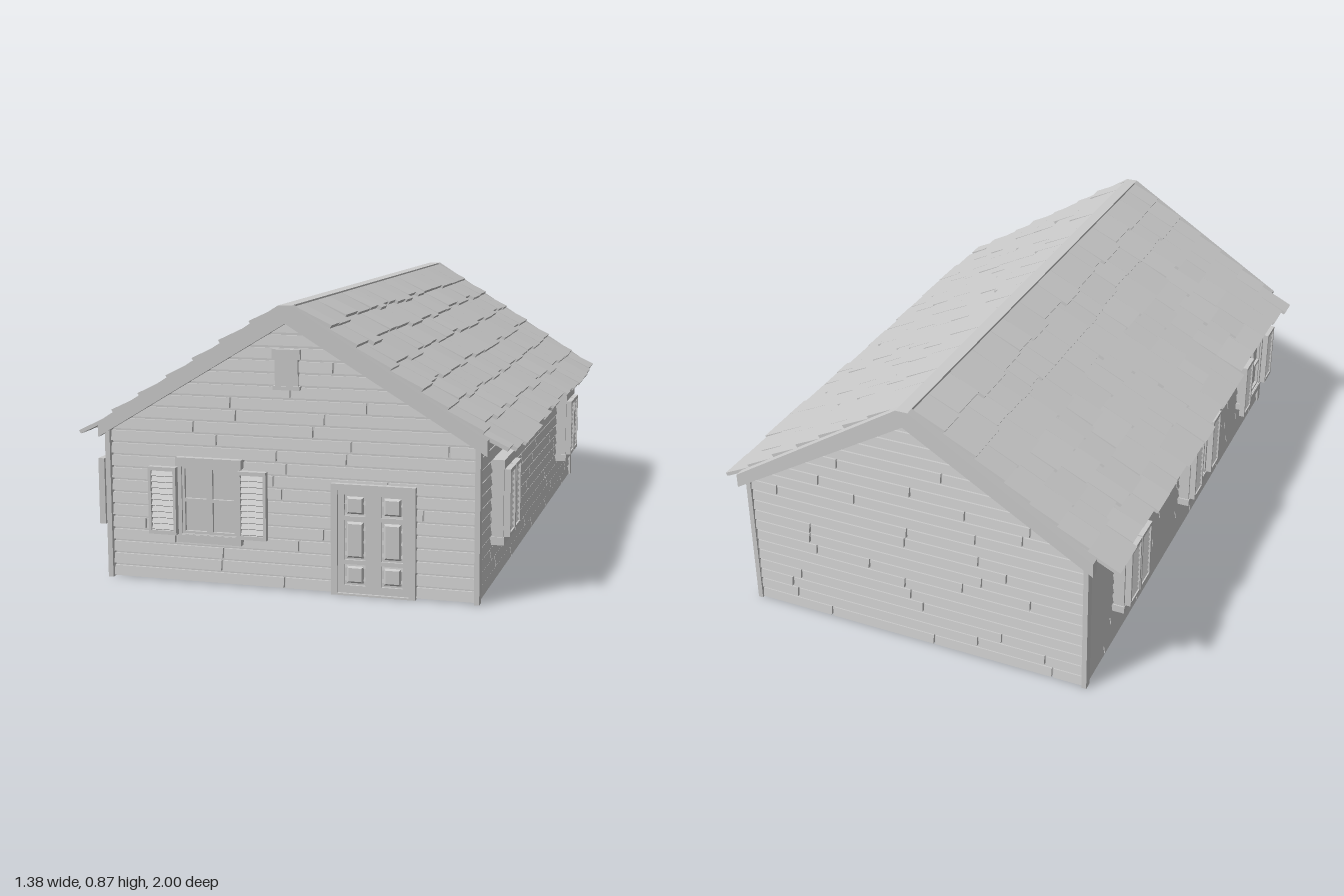
import * as THREE from 'three';
import { mergeGeometries } from 'three/addons/utils/BufferGeometryUtils.js';

const material = new THREE.MeshStandardMaterial({ color: 0xcccccc, flatShading: true });
const SLOPE = 0.635;            // roof fall per unit of x
const COURSE = 0.039;           // height of one siding board

let seed = 7;
const rand = (a, b) => {
  seed = (seed * 16807) % 2147483647;
  return a + (b - a) * (seed / 2147483647);
};

function add(parent, name, geometry) {
  const mesh = new THREE.Mesh(geometry, material);
  mesh.name = name;
  parent.add(mesh);
  return mesh;
}

function newGroup(parent, name) {
  const g = new THREE.Group();
  g.name = name;
  parent.add(g);
  return g;
}

// Box given by its limits
function span(x0, x1, y0, y1, z0, z1) {
  return new THREE.BoxGeometry(x1 - x0, y1 - y0, z1 - z0)
    .translate((x0 + x1) / 2, (y0 + y1) / 2, (z0 + z1) / 2);
}

// Flat outline with rectangular holes [x0, x1, y0, y1], extruded from z0 to z1
function plate(points, holes, z0, z1) {
  const shape = new THREE.Shape(points.map(([x, y]) => new THREE.Vector2(x, y)));
  for (const [a, b, c, d] of holes) {
    shape.holes.push(new THREE.Path([[a, c], [a, d], [b, d], [b, c]].map(p => new THREE.Vector2(...p))));
  }
  return new THREE.ExtrudeGeometry(shape, { depth: z1 - z0, bevelEnabled: false }).translate(0, 0, z0);
}

const rect = (x0, x1, y0, y1) => [[x0, y0], [x1, y0], [x1, y1], [x0, y1]];

// Move box corners by a rule working on the signs of each corner
function shapeBox(rule) {
  const g = new THREE.BoxGeometry(2, 2, 2);
  const p = g.attributes.position;
  for (let i = 0; i < p.count; i++) p.setXYZ(i, ...rule(p.getX(i), p.getY(i), p.getZ(i)));
  g.computeVertexNormals();
  return g;
}

// Lapped boards on one wall; halfAt(y) gives the half width at a height
function siding(parent, halfAt, top) {
  const boards = [];
  for (let y = 0; y < top - 0.01; y += COURSE) {
    const y0 = y + 0.004, y1 = Math.min(y + COURSE - 0.004, top);
    const w0 = halfAt(y0), w1 = halfAt(y1);
    let a = -w0;
    while (a < w0) {
      let b = a + rand(0.18, 0.75);
      if (a === -w0) b = a + rand(0.08, 0.6);
      if (b > w0 - 0.08) b = w0;
      const end = b;
      const start = a;
      boards.push(shapeBox((sx, sy, sz) => {
        const w = sy < 0 ? w0 : w1;
        const x = THREE.MathUtils.clamp(sx < 0 ? start : end, -w, w);
        return [x, sy < 0 ? y0 : y1, sz < 0 ? -0.012 : (sy < 0 ? 0.003 : -0.002)];
      }));
      a = b + 0.006;
    }
  }
  add(parent, 'sidingBoards', mergeGeometries(boards));
}

// Louvred shutter with its lower left corner at the origin
function shutter(parent, x, y) {
  const w = 0.09, h = 0.21, t = 0.02;
  const g = newGroup(parent, 'shutter');
  add(g, 'shutterFrame', plate(rect(0, w, 0, h), [[0.009, w - 0.009, 0.012, h - 0.012]], 0, t));
  const slats = [];
  for (let i = 0; i < 10; i++) {
    slats.push(new THREE.BoxGeometry(w - 0.016, 0.019, 0.004).rotateX(-0.6)
      .translate(w / 2, 0.022 + i * 0.0185, t / 2));
  }
  add(g, 'shutterSlats', mergeGeometries(slats));
  g.position.set(x, y, 0);
}

// Four-pane window; shutters are listed by their x offset from the middle
function windowUnit(wall, x, z, shutters) {
  const g = newGroup(wall, 'window');
  g.position.set(x, 0, z);
  const panes = [];
  for (const px of [-0.08, 0.01]) for (const py of [0.165, 0.267]) panes.push([px, px + 0.07, py, py + 0.092]);
  add(g, 'windowFrame', plate(rect(-0.1, 0.1, 0.14, 0.38), [[-0.088, 0.088, 0.157, 0.367]], -0.045, 0));
  add(g, 'windowSash', plate(rect(-0.09, 0.09, 0.155, 0.369), panes, -0.04, -0.006));
  add(g, 'windowGlass', span(-0.085, 0.085, 0.16, 0.365, -0.04, -0.016));
  add(g, 'windowHead', span(-0.106, 0.106, 0.367, 0.395, -0.045, 0.003));
  add(g, 'windowSill', span(-0.104, 0.104, 0.13, 0.155, -0.045, 0.003));
  for (const s of shutters) shutter(g, s, 0.155);
}

// Panelled door with trim
function door(wall, x, z) {
  const g = newGroup(wall, 'door');
  g.position.set(x, 0, z);
  add(g, 'doorTrim', plate(rect(-0.13, 0.13, 0, 0.34), [[-0.11, 0.11, 0.006, 0.322]], -0.025, 0.016));
  const fields = [];
  for (const px of [-0.09, 0.025]) {
    for (const [y0, y1] of [[0.03, 0.095], [0.108, 0.23], [0.242, 0.307]]) fields.push([px, px + 0.065, y0, y1]);
  }
  add(g, 'doorLeaf', plate(rect(-0.112, 0.112, 0.004, 0.324), fields, -0.02, 0.008));
  add(g, 'doorBacking', span(-0.11, 0.11, 0.005, 0.322, -0.02, 0.001));
  for (const [a, b, c, d] of fields) {
    // Raised field with sloping edges
    add(g, 'doorPanel', shapeBox((sx, sy, sz) => {
      const inset = sz < 0 ? 0.005 : 0.012;
      return [sx < 0 ? a + inset : b - inset, sy < 0 ? c + inset : d - inset, sz < 0 ? 0 : 0.008];
    }));
  }
}

// Wedge shingles in staggered courses on one roof slope
function shingles(parent) {
  const list = [];
  for (let row = 0; row < 7; row++) {
    const edge = 0.118 + row * 0.1087;
    let z = -0.96;
    while (z < 0.96) {
      let next = z + rand(0.07, 0.17);
      if (next > 0.9) next = 0.96;
      const low = edge + rand(-0.014, 0.014), high = Math.max(edge - 0.13, 0);
      const lift = rand(0.003, 0.008), z0 = z, z1 = next - 0.002;
      list.push(shapeBox((sx, sy, sz) => [
        sx < 0 ? high : low,
        (sx < 0 ? -0.008 : lift) + (sy < 0 ? 0 : 0.012),
        sz < 0 ? z0 : z1,
      ]));
      z = next;
    }
  }
  add(parent, 'shingles', mergeGeometries(list));
}

export function createModel() {
  const house = new THREE.Group();
  house.name = 'house';

  // Solid body under the siding
  add(house, 'wallCore', plate([[-0.573, 0], [0.573, 0], [0.573, 0.475], [0, 0.838], [-0.573, 0.475]], [], -0.965, 0.95));

  // Four sided walls, each built facing +z and turned into place
  const gable = y => Math.min(0.575, Math.max(0.004, (0.838 - y) / SLOPE));
  const makeWall = (name, x, z, angle, halfAt, top) => {
    const wall = newGroup(house, name);
    wall.position.set(x, 0, z);
    wall.rotation.y = angle;
    siding(wall, halfAt, top);
    return wall;
  };
  const front = makeWall('frontWall', 0, 0.96, 0, gable, 0.82);
  makeWall('backWall', 0, -0.974, Math.PI, gable, 0.82);
  const left = makeWall('leftWall', 0.582, -0.005, Math.PI / 2, () => 0.955, 0.468);
  const right = makeWall('rightWall', -0.582, -0.005, -Math.PI / 2, () => 0.955, 0.468);

  for (const x of [-0.582, 0.582]) {
    for (const z of [-0.967, 0.958]) add(house, 'cornerPost', span(x - 0.008, x + 0.008, 0, 0.475, z - 0.015, z + 0.015));
  }

  // Windows and door
  const open = [-0.19, 0.1], closed = [-0.0925, 0.0025];
  windowUnit(front, -0.248, 0.02, open);
  door(front, 0.268, 0);
  windowUnit(left, -0.665, 0.038, closed);
  windowUnit(left, 0.675, 0.038, closed);
  windowUnit(right, -0.635, 0.038, closed);
  windowUnit(right, 0.02, 0.038, [-0.0925, 0.1]);
  windowUnit(right, 0.735, 0.038, open);

  // Gable vent
  const vent = newGroup(front, 'gableVent');
  add(vent, 'ventBox', span(-0.036, 0.036, 0.615, 0.71, -0.01, 0.008));
  add(vent, 'ventHead', span(-0.044, 0.044, 0.705, 0.735, -0.01, 0.012));
  add(vent, 'ventSill', span(-0.042, 0.042, 0.613, 0.625, -0.01, 0.012));

  // Roof deck, gable boards and ridge
  const outline = (top, bottom, w) => [
    [-0.02, top], [-w, top - SLOPE * (w - 0.02)], [-w, bottom - SLOPE * w + 0.02], [0, bottom],
    [w, bottom - SLOPE * w + 0.02], [w, top - SLOPE * (w - 0.02)], [0.02, top]];
  add(house, 'roofDeck', plate(outline(0.858, 0.825, 0.605), [], -0.98, 0.96));
  add(house, 'frontGableBoard', plate(outline(0.866, 0.812, 0.61), [], 0.95, 0.978));
  add(house, 'backGableBoard', plate(outline(0.866, 0.812, 0.61), [], -1, -0.97));
  add(house, 'ridgeCap', span(-0.02, 0.02, 0.85, 0.866, -0.98, 0.96));

  // Shingled slopes
  for (const side of [1, -1]) {
    const turn = newGroup(house, side > 0 ? 'leftRoof' : 'rightRoof');
    turn.position.z = -0.01;
    turn.rotation.y = side > 0 ? 0 : Math.PI;
    const slope = newGroup(turn, 'roofSlope');
    slope.position.set(0.02, 0.858, 0);
    slope.rotation.z = -Math.atan(SLOPE);
    shingles(slope);
  }
  return house;
}
